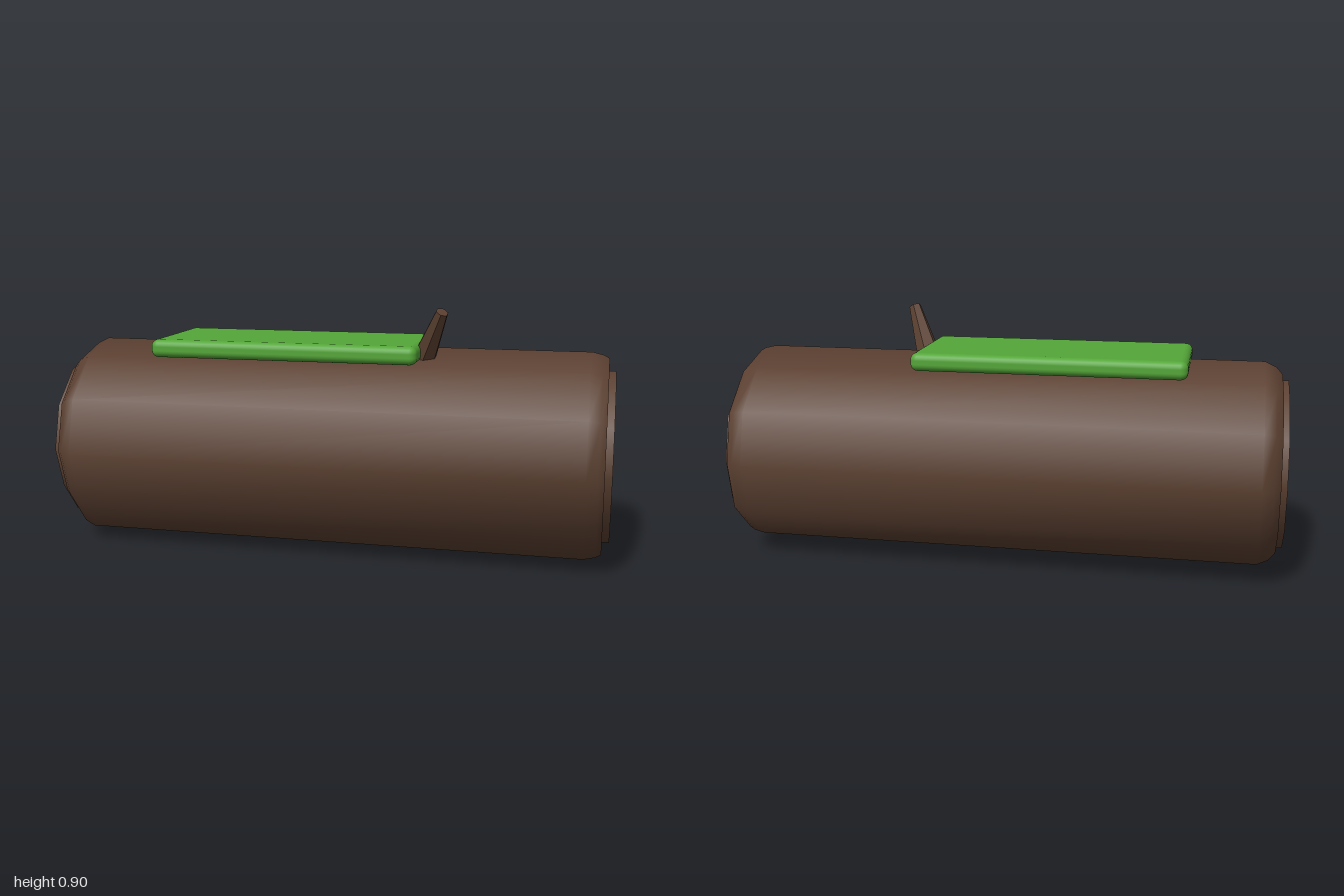
import * as THREE from 'three';
import { RoundedBoxGeometry } from 'three/addons/geometries/RoundedBoxGeometry.js';

const CENTER_Y = 0.375;

// Slightly irregular twelve-sided log outline as [z, y - CENTER_Y], going round from the top
const OUTLINE = [
  [0, 0.375], [0.18, 0.325], [0.328, 0.187], [0.38, -0.005], [0.315, -0.185], [0.19, -0.325],
  [0, -0.372], [-0.2, -0.312], [-0.335, -0.19], [-0.38, 0], [-0.333, 0.187], [-0.185, 0.32],
];

// Skins rings given as [x, scale], ordered from -x to +x, facing outwards
function loft(rings) {
  const n = OUTLINE.length;
  const pos = [];
  const index = [];
  for (const [x, s] of rings) {
    for (const [z, y] of OUTLINE) pos.push(x, CENTER_Y + y * s, z * s);
  }
  for (let r = 0; r < rings.length - 1; r++) {
    for (let i = 0; i < n; i++) {
      const a = r * n + i;
      const b = r * n + (i + 1) % n;
      index.push(a, b, a + n, b, b + n, a + n);
    }
  }
  const geo = new THREE.BufferGeometry();
  geo.setAttribute('position', new THREE.Float32BufferAttribute(pos, 3));
  geo.setIndex(index);
  geo.computeVertexNormals();
  return geo;
}

// Flat cut face of the log, facing -x or +x
function cutFace(x, scale) {
  const side = Math.sign(x);
  const shape = new THREE.Shape(OUTLINE.map(([z, y]) => new THREE.Vector2(-side * z * scale, y * scale)));
  const geo = new THREE.ShapeGeometry(shape);
  geo.rotateY(side * Math.PI / 2);
  geo.translate(x, CENTER_Y, 0);
  return geo;
}

export function createModel() {
  const bark = new THREE.MeshStandardMaterial({ color: 0x5a3f30 });
  bark.name = 'bark brown';
  const wood = new THREE.MeshStandardMaterial({ color: 0x9b784c });
  wood.name = 'cut wood tan';
  const green = new THREE.MeshStandardMaterial({ color: 0x54a638 });
  green.name = 'moss green';

  const group = new THREE.Group();
  group.name = 'mossyLog';
  const add = (name, geo, mat) => {
    const mesh = new THREE.Mesh(geo, mat);
    mesh.name = name;
    group.add(mesh);
    return mesh;
  };

  // Bark with chamfered ends
  add('bark', loft([
    [-0.978, 0.88], [-0.955, 0.95], [-0.915, 1], [0.915, 1], [0.955, 0.975], [0.975, 0.945],
  ]), bark);

  // Bark rims and the core that stands out of them
  add('leftRim', loft([[0.975, 0.945], [0.972, 0.82]]), bark);
  add('rightRim', loft([[-0.975, 0.82], [-0.978, 0.88]]), bark);
  add('core', loft([[-1, 0.825], [1, 0.825]]), bark);
  add('leftCutFace', cutFace(1, 0.825), wood);
  add('rightCutFace', cutFace(-1, 0.825), wood);

  // Moss pad lying on top
  const moss = add('mossPad', new RoundedBoxGeometry(0.98, 0.066, 0.44, 3, 0.026), green);
  moss.position.set(-0.165, 0.742, -0.002);

  // Leaning broken twig
  const base = new THREE.Vector3(0.313, 0.68, 0.052);
  const tip = new THREE.Vector3(0.405, 0.893, 0.16);
  const dir = tip.clone().sub(base);
  const twigGeo = new THREE.CylinderGeometry(0.023, 0.05, dir.length(), 6).toNonIndexed();
  twigGeo.computeVertexNormals();
  const twig = add('twig', twigGeo, bark);
  twig.position.copy(base).add(tip).multiplyScalar(0.5);
  twig.quaternion.setFromUnitVectors(new THREE.Vector3(0, 1, 0), dir.normalize());

  return group;
}
